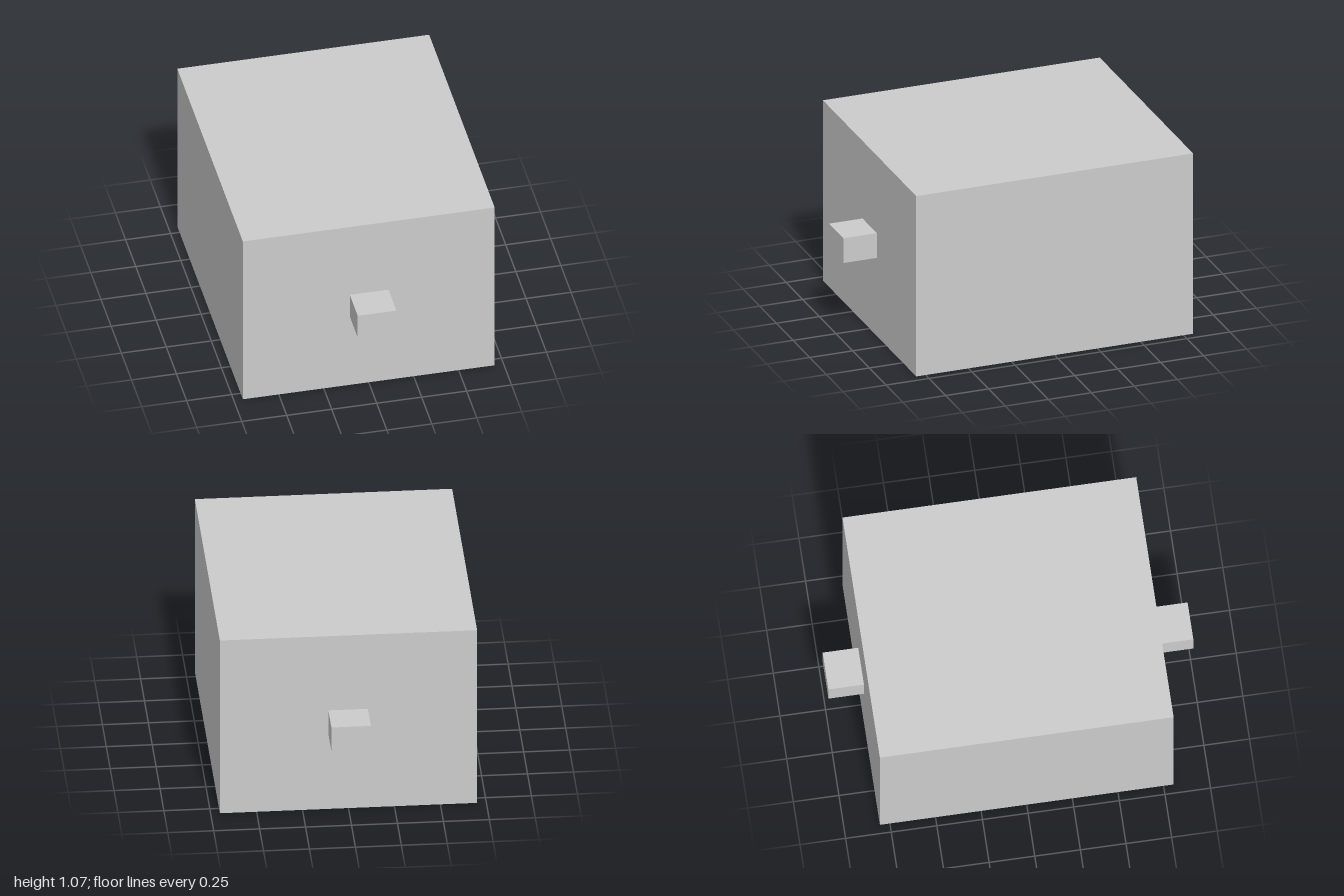
import * as THREE from 'three';

const WIDTH = 1.4, HEIGHT = 1.066, DEPTH = 1.61;
const TAB_WIDTH = 0.215, TAB_HEIGHT = 0.146, TIP_Z = 1;

export function createModel() {
  const model = new THREE.Group();
  const material = new THREE.MeshStandardMaterial({ color: 0xcccccc, flatShading: true });

  const addBox = (name, size, position) => {
    const mesh = new THREE.Mesh(new THREE.BoxGeometry(...size), material);
    mesh.name = name;
    mesh.position.set(...position);
    model.add(mesh);
  };

  // Main block
  addBox('body', [WIDTH, HEIGHT, DEPTH], [0, HEIGHT / 2, 0]);

  // Matching tabs, seated slightly into the front and back faces
  const innerZ = DEPTH / 2 - 0.01;
  for (const [name, side] of [['frontTab', 1], ['backTab', -1]]) {
    addBox(name, [TAB_WIDTH, TAB_HEIGHT, TIP_Z - innerZ],
      [0.002, 0.535, side * (TIP_Z + innerZ) / 2]);
  }

  return model;
}
